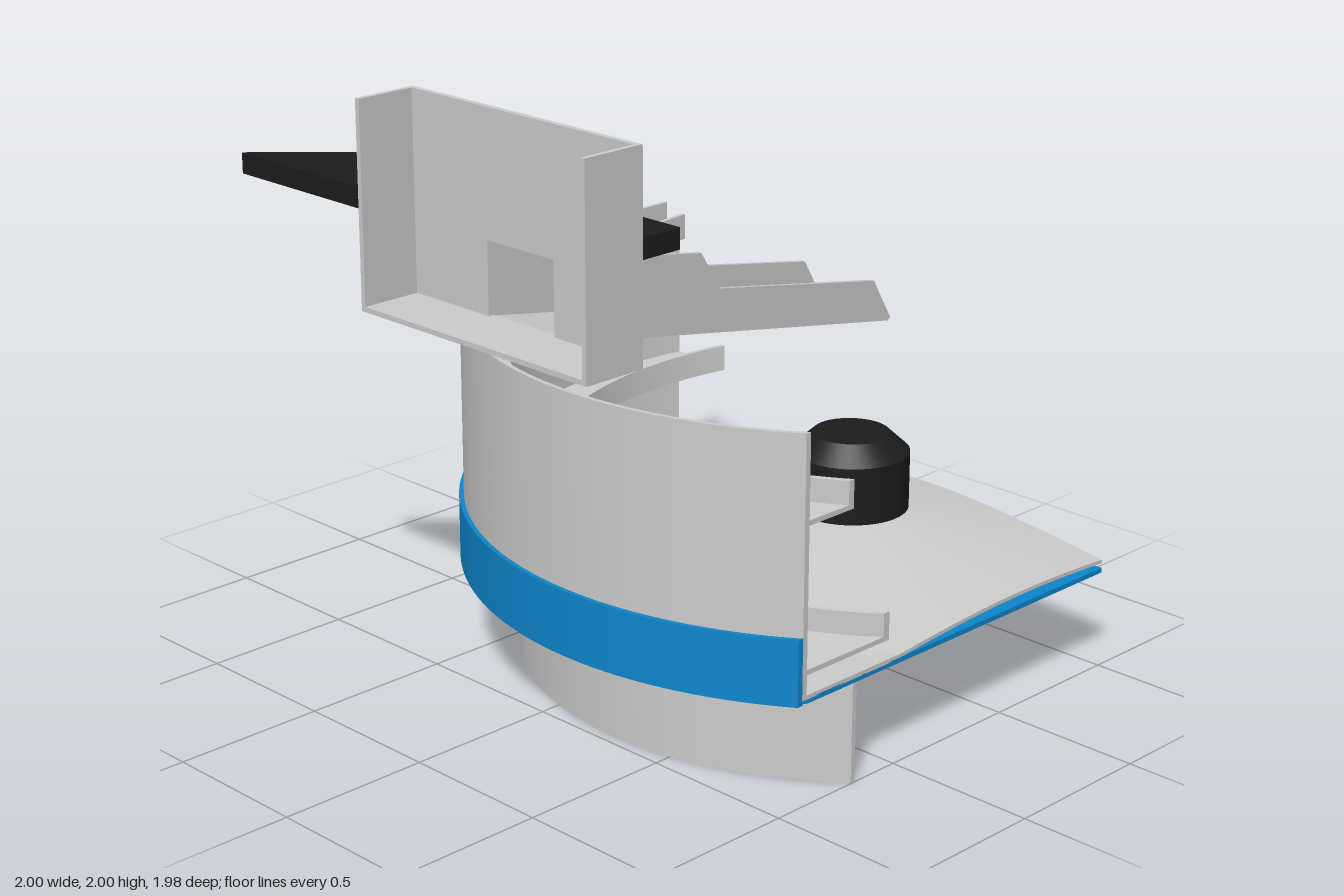
import * as THREE from 'three';
import { toCreasedNormals } from 'three/addons/utils/BufferGeometryUtils.js';

const CX = 0.61, CZ = 0.27;          // bowl axis
const DX = 0.39, DZ = 0.725;         // distances from the axis to the two cut planes
const BACK = Math.PI * 1.5;          // direction of the rear of the bowl

const mat = (color) => new THREE.MeshStandardMaterial({ color, side: THREE.DoubleSide });
const grey = mat(0xcccccc), blue = mat(0x0d86cc), black = mat(0x1c1c1c);

// Angles at which a circle of radius r meets the front and side cut planes
const startAngle = (r) => Math.PI - Math.asin(DZ / r);
const endAngle = (r) => 2 * Math.PI - Math.acos(DX / r);
const onCircle = (r, a, y) => [CX + r * Math.cos(a), y, CZ + r * Math.sin(a)];

// Sweep a closed section of m points through n steps; pos(t, i) places point i at t
function sweep(m, n, pos, caps = true) {
  const verts = [], index = [];
  for (let u = 0; u <= n; u++) {
    for (let i = 0; i < m; i++) verts.push(...pos(u / n, i));
  }
  for (let u = 0; u < n; u++) {
    for (let i = 0; i < m; i++) {
      const a = u * m + i, b = u * m + (i + 1) % m;
      index.push(a, a + m, b, b, a + m, b + m);
    }
  }
  if (caps) {
    const e = n * m;
    for (let i = 0; i < m / 2 - 1; i++) {
      const [p, q, r, s] = [i, i + 1, m - 2 - i, m - 1 - i];
      index.push(p, q, s, q, r, s, e + p, e + s, e + q, e + q, e + s, e + r);
    }
  }
  const g = new THREE.BufferGeometry();
  g.setAttribute('position', new THREE.Float32BufferAttribute(verts, 3));
  g.setIndex(index);
  return toCreasedNormals(g.toNonIndexed(), 0.5);
}

// Cylindrical shell between the cut planes, optionally over a shorter range
function shell(rIn, rOut, y0, y1, from = startAngle, to = endAngle) {
  const sec = [[rOut, y0], [rIn, y0], [rIn, y1], [rOut, y1]];
  return sweep(4, 72, (t, i) => {
    const [r, y] = sec[i];
    return onCircle(r, THREE.MathUtils.lerp(from(r), to(r), t), y);
  });
}

// Plate around the axis, trimmed by both cut planes; top(r) gives its height
function trimmedDisc(r0, R, top, thick) {
  const corner = Math.atan2(DZ, DX);
  return sweep(4, 180, (t, i) => {
    const a = corner + t * 2 * Math.PI, c = Math.cos(a), s = Math.sin(a);
    const rMax = Math.min(R, c > 1e-6 ? DX / c : R, s > 1e-6 ? DZ / s : R);
    const r = i === 1 || i === 2 ? rMax : r0;
    return onCircle(r, a, top(r) - (i > 1 ? thick : 0));
  }, false);
}

// Rising L-shaped track; a straight exit leaves the circle at the rear
function track(rStart, rEnd, yStart, yEnd, straightExit) {
  const t0 = 0.016, lip = 0.09, out = 1.235;
  const sec = [[1, 0, 0], [0, 0, 0], [0, 0, lip], [0, t0, lip], [0, t0, t0], [1, 0, t0]];
  return sweep(6, 96, (t, i) => {
    const [outer, dr, dy] = sec[i];
    const r = outer ? out : rStart + (rEnd - rStart) * t + dr;
    const y = yStart + (yEnd - yStart) * t + dy;
    const a0 = startAngle(r);
    if (!straightExit) return onCircle(r, a0 + (endAngle(r) - a0) * t, y);
    const bend = 0.87;
    if (t <= bend) return onCircle(r, a0 + (BACK - a0) * t / bend, y);
    return [CX + DX * (t - bend) / (1 - bend), y, CZ - r];
  });
}

function shapeOf(points) {
  return new THREE.Shape(points.map(([x, y]) => new THREE.Vector2(x, y)));
}

const extrude = (shape, depth) => new THREE.ExtrudeGeometry(shape, { depth, bevelEnabled: false });

// Box given by its minimum and maximum corners
function box(x0, x1, y0, y1, z0, z1) {
  return new THREE.BoxGeometry(x1 - x0, y1 - y0, z1 - z0)
    .translate((x0 + x1) / 2, (y0 + y1) / 2, (z0 + z1) / 2);
}

export function createModel() {
  const model = new THREE.Group();
  const add = (name, geometry, material = grey, parent = model) => {
    const mesh = new THREE.Mesh(geometry, material);
    mesh.name = name;
    parent.add(mesh);
    return mesh;
  };
  const group = (name) => {
    const g = new THREE.Group();
    g.name = name;
    model.add(g);
    return g;
  };

  // Base skirt
  add('baseSkirt', shell(1.063, 1.075, 0, 0.32));

  // Bowl: wall, floor, domed cone and coloured rim
  const bowl = group('bowl');
  const rear = () => BACK;
  add('bowlWall', shell(1.23, 1.245, 0.335, 1.15, startAngle, rear), grey, bowl);
  add('bowlWallBelowExit', shell(1.23, 1.245, 0.335, 1.035, rear, endAngle), grey, bowl);
  add('exitWall', box(CX, CX + DX, 1.03, 1.15, CZ - 1.245, CZ - 1.23), grey, bowl);
  add('floorRing', shell(0.93, 1.235, 0.333, 0.347), grey, bowl);
  add('floorCone', trimmedDisc(0.17, 0.94, (r) => 0.46 - (r - 0.19) * 0.152, 0.012), grey, bowl);
  add('basePlate', trimmedDisc(0, 1.25, () => 0.336, 0.016), blue, bowl);
  add('rimBand', shell(1.244, 1.26, 0.32, 0.53), blue, bowl);

  // Spiral tracks
  add('lowerTrack', track(0.966, 1.02, 0.41, 0.595, false), grey, bowl);
  add('upperTrack', track(1.085, 1.14, 0.87, 1.035, true), grey, bowl);

  // Central hub with a chamfered top
  const hubProfile = [[0, 0.337], [0.19, 0.337], [0.19, 0.65], [0.125, 0.71], [0, 0.71]]
    .map(([x, y]) => new THREE.Vector2(x, y));
  const hub = add('hub', toCreasedNormals(new THREE.LatheGeometry(hubProfile, 48), 0.4), black);
  hub.position.set(CX, 0, CZ);

  // Sloping feed chute: floor between two stepped sides
  const chute = group('chute');
  const side = shapeOf([[-0.8, 1.37], [0.6, 1.12], [0.61, 1.13], [0.53, 1.265],
    [-0.155, 1.39], [-0.235, 1.515], [-0.8, 1.615]]);
  for (const z of [0.115, 0.405]) {
    add('chuteSide', extrude(side, 0.015).translate(0, 0, z), grey, chute);
  }
  const chuteFloor = shapeOf([[-0.8, 1.37], [0.6, 1.12], [0.605, 1.135], [-0.8, 1.386]]);
  add('chuteFloor', extrude(chuteFloor, 0.28).translate(0, 0, 0.127), grey, chute);

  // Hopper: plate with an outlet, floor and two ends, open at the far side
  const hopper = group('hopper');
  const plate = shapeOf([[-0.74, 1.37], [0.2, 1.37], [0.2, 2], [-0.74, 2]]);
  plate.holes.push(new THREE.Path([[-0.405, 1.386], [-0.405, 1.612], [-0.13, 1.612], [-0.13, 1.386]]
    .map(([x, y]) => new THREE.Vector2(x, y))));
  add('hopperPlate', extrude(plate, 0.018).rotateY(Math.PI / 2).translate(-0.805, 0, 0), grey, hopper);
  add('hopperFloor', box(-1, -0.8, 1.37, 1.386, -0.2, 0.74), grey, hopper);
  add('hopperEnd', box(-1, -0.8, 1.37, 2, -0.2, -0.184), grey, hopper);
  add('hopperEnd', box(-1, -0.8, 1.37, 2, 0.724, 0.74), grey, hopper);

  // Support bracket wrapping the hopper plate
  const bracket = shapeOf([[-1, 0.74], [-0.985, 0.735], [-0.64, 0.395], [-0.64, -0.735],
    [-0.787, -0.735], [-0.787, 0.201], [-1, 0.201]]);
  add('bracket', extrude(bracket, 0.063).rotateX(-Math.PI / 2).translate(0, 1.677, 0), black);

  return model;
}
